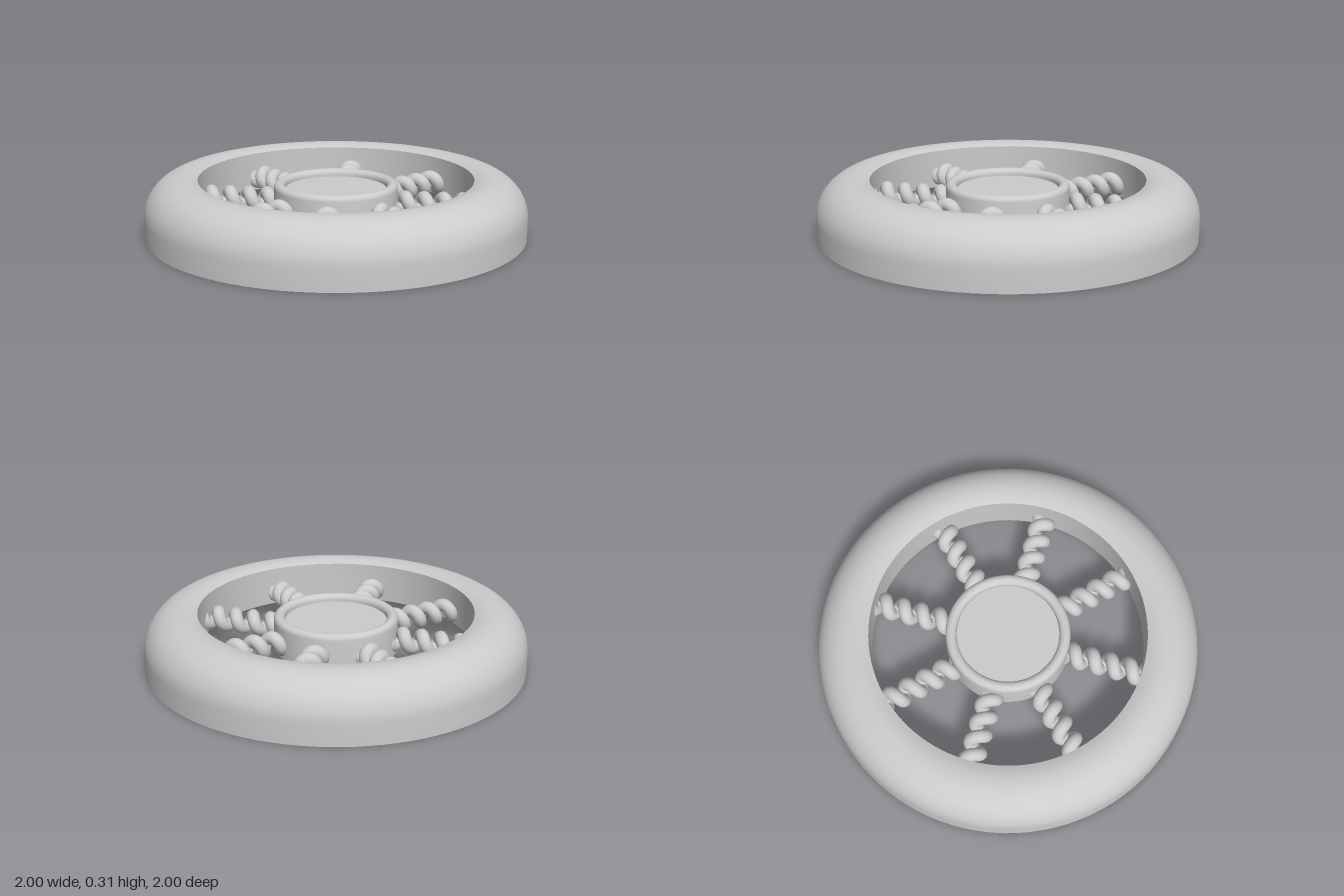
import * as THREE from 'three';
import { toCreasedNormals } from 'three/addons/utils/BufferGeometryUtils.js';

const material = new THREE.MeshStandardMaterial({ color: 0xcccccc, side: THREE.DoubleSide });

// Points on an arc in the (radius, height) plane
function arc(cx, cy, r, from, to, steps) {
  return Array.from({ length: steps + 1 }, (_, i) => {
    const a = from + ((to - from) * i) / steps;
    return new THREE.Vector2(cx + r * Math.cos(a), cy + r * Math.sin(a));
  });
}

function lathe(name, points) {
  const geometry = toCreasedNormals(new THREE.LatheGeometry(points, 96), 0.7);
  const mesh = new THREE.Mesh(geometry, material);
  mesh.name = name;
  return mesh;
}

// Right-handed coil running outward along +x
class Coil extends THREE.Curve {
  getPoint(t, target = new THREE.Vector3()) {
    const x = 0.28 + 0.5 * t;
    const a = ((x - 0.665) / 0.1) * Math.PI * 2;
    return target.set(x, 0.035 * Math.cos(a), 0.035 * Math.sin(a));
  }
}

export function createModel() {
  const model = new THREE.Group();
  model.name = 'spokedWheel';

  // Rim: thin shell, open underneath, rounded over the outer shoulder
  const innerAngle = Math.PI - Math.acos(0.08 / 0.2);
  model.add(lathe('rim', [
    new THREE.Vector2(1, 0),
    ...arc(0.8, 0.11, 0.2, 0, innerAngle, 16),
    new THREE.Vector2(0.72, 0.087),
  ]));

  // Hub: hollow underneath, with a rolled lip around a sunken disc
  model.add(lathe('hub', [
    new THREE.Vector2(0.325, 0.08),
    ...arc(0.296, 0.24, 0.029, 0, Math.PI, 12),
    new THREE.Vector2(0.267, 0.23),
    new THREE.Vector2(0, 0.23),
  ]));

  // Eight coiled spokes passing through the hub and rim walls
  const coil = new THREE.TubeGeometry(new Coil(), 120, 0.035, 14);
  for (let i = 0; i < 8; i++) {
    const spoke = new THREE.Mesh(coil, material);
    spoke.name = 'spoke' + (i + 1);
    spoke.position.y = 0.16;
    spoke.rotation.y = (i * Math.PI) / 4;
    model.add(spoke);
  }
  return model;
}
